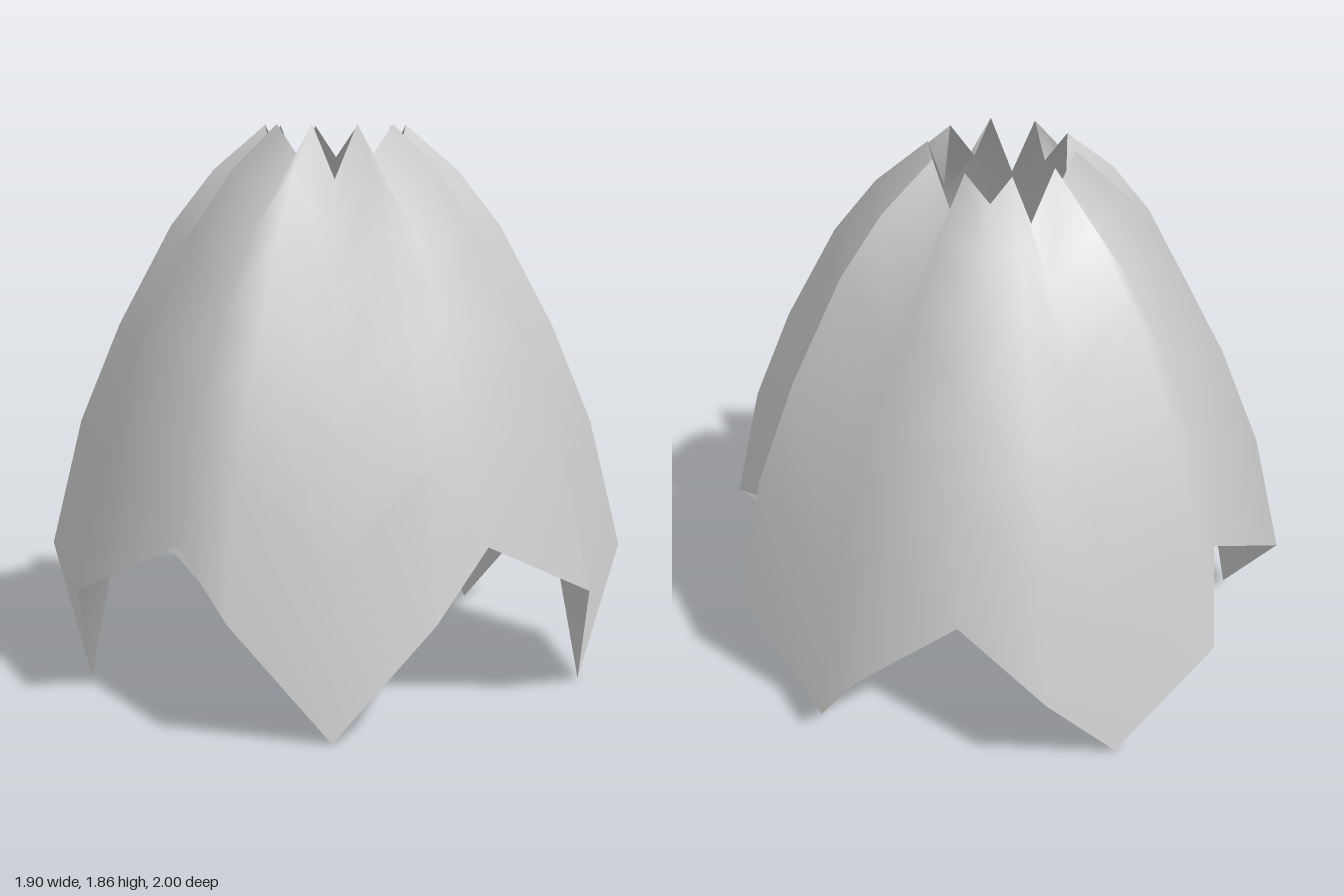
import * as THREE from 'three';

// Profiles from the lower rim to the upper rim, as [radius, height]
const ridge = [[1, 0.4], [0.89, 0.84], [0.748, 1.18], [0.564, 1.52], [0.415, 1.71], [0.238, 1.86]];
const lowFold = [[0.87, 0], [0.766, 0.53], [0.65, 0.92], [0.49, 1.3], [0.355, 1.51], [0.212, 1.68]];
const highFold = [[0.82, 0.56], [0.72, 0.95], [0.6, 1.24], [0.45, 1.51], [0.325, 1.64], [0.2, 1.75]];

// Pleated dome: ridges alternate with low and high valley folds around the axis
function pleatedShell() {
  const cycle = [lowFold, ridge, highFold, ridge];
  const columns = 20, rows = ridge.length;
  const positions = [], index = [];
  for (let i = 0; i < columns; i++) {
    const angle = (i / columns) * Math.PI * 2;
    for (const [r, y] of cycle[i % 4]) positions.push(r * Math.cos(angle), y, r * Math.sin(angle));
  }
  for (let i = 0; i < columns; i++) {
    for (let j = 0; j < rows - 1; j++) {
      const a = i * rows + j, b = ((i + 1) % columns) * rows + j;
      // each diagonal climbs from the valley up to the ridge
      if (i % 2 === 0) index.push(a, a + 1, b + 1, a, b + 1, b);
      else index.push(a, a + 1, b, b, a + 1, b + 1);
    }
  }
  const geometry = new THREE.BufferGeometry();
  geometry.setAttribute('position', new THREE.Float32BufferAttribute(positions, 3));
  geometry.setIndex(index);
  geometry.computeVertexNormals();
  return geometry;
}

export function createModel() {
  const group = new THREE.Group();
  group.name = 'pleatedShade';
  const material = new THREE.MeshStandardMaterial({ color: 0xcccccc, side: THREE.DoubleSide });
  const shell = new THREE.Mesh(pleatedShell(), material);
  shell.name = 'foldedShell';
  group.add(shell);
  return group;
}
